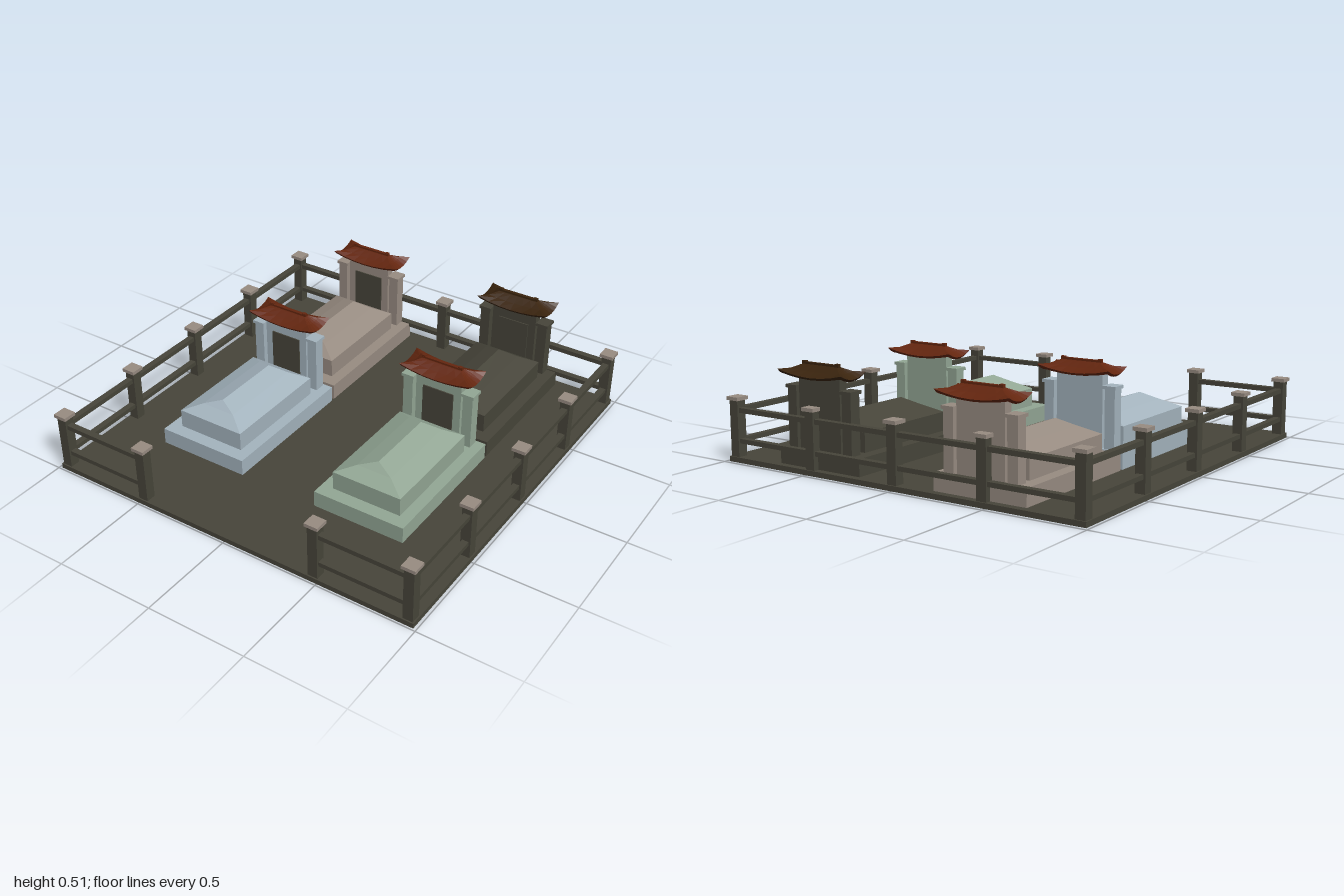
import * as THREE from 'three';

const mat = (name, color) => {
  const m = new THREE.MeshStandardMaterial({ color });
  m.name = name;
  return m;
};

// Box placed by its centre in x and z and by its bottom and top heights
function block(name, material, w, d, x, z, y0, y1) {
  const mesh = new THREE.Mesh(new THREE.BoxGeometry(w, y1 - y0, d), material);
  mesh.position.set(x, (y0 + y1) / 2, z);
  mesh.name = name;
  return mesh;
}

// Stack of rectangular rings [halfX, halfZ, y, cornerLift], n segments per side, faceted
function loft(rings, n) {
  const corners = [[1, 1], [1, -1], [-1, -1], [-1, 1]];
  const pos = [], idx = [], count = 4 * n;
  for (const [hx, hz, y, lift = 0] of rings) {
    for (let j = 0; j < count; j++) {
      const a = corners[Math.floor(j / n)], b = corners[(Math.floor(j / n) + 1) % 4];
      const t = (j % n) / n, u = 2 * t - 1;
      pos.push(hx * (a[0] + (b[0] - a[0]) * t), y + lift * u * u, hz * (a[1] + (b[1] - a[1]) * t));
    }
  }
  for (let i = 0; i < rings.length - 1; i++) {
    for (let j = 0; j < count; j++) {
      const a = i * count + j, b = i * count + (j + 1) % count;
      idx.push(a, b, b + count, a, b + count, a + count);
    }
  }
  const top = (rings.length - 1) * count;
  for (let j = 1; j < count - 1; j++) {
    idx.push(0, j + 1, j, top, top + j, top + j + 1);
  }
  const indexed = new THREE.BufferGeometry();
  indexed.setAttribute('position', new THREE.Float32BufferAttribute(pos, 3));
  indexed.setIndex(idx);
  const geo = indexed.toNonIndexed();
  geo.computeVertexNormals();
  return geo;
}

export function createModel() {
  const model = new THREE.Group();
  model.name = 'walledGraves';
  const dark = mat('darkStone', 0x47453a);
  const taupe = mat('taupeStone', 0x988c82);
  const blue = mat('blueStone', 0xa4b4be);
  const green = mat('greenStone', 0x93a795);
  const redTile = mat('redTile', 0x64260f);
  const brownTile = mat('brownTile', 0x3a240e);

  // Floor slab
  const CZ = 0.005, E = 0.953, H = E / 2;
  model.add(block('floor', dark, 1.97, 1.97, 0, CZ, 0, 0.025));

  // Fence posts with caps, leaving the front middle open as an entrance
  const fence = new THREE.Group();
  fence.name = 'fence';
  for (let i = -2; i <= 2; i++) {
    for (let k = -2; k <= 2; k++) {
      const onEdge = Math.abs(i) === 2 || Math.abs(k) === 2;
      if (!onEdge || (k === 2 && i === 0)) continue;
      fence.add(block('post', dark, 0.05, 0.05, i * H, CZ + k * H, 0.02, 0.297));
      fence.add(block('postCap', taupe, 0.069, 0.069, i * H, CZ + k * H, 0.295, 0.312));
    }
  }

  // Two rails per fence side
  for (const [y0, y1] of [[0.09, 0.112], [0.237, 0.26]]) {
    fence.add(block('backRail', dark, 2 * E, 0.032, 0, CZ - E, y0, y1));
    for (const s of [-1, 1]) {
      fence.add(block('sideRail', dark, 0.032, 2 * E, s * E, CZ, y0, y1));
      fence.add(block('frontRail', dark, H, 0.032, s * 0.75 * E, CZ + E, y0, y1));
    }
  }
  model.add(fence);

  // Shared shapes: hipped mound and tiled roof with upswept corners
  const moundGeo = loft([
    [0.18, 0.29, 0.1], [0.18, 0.29, 0.2], [0.09, 0.225, 0.238], [0, 0.185, 0.27],
  ], 1);
  const roofGeo = loft([
    [0.13, 0.025, 0.462], [0.18, 0.076, 0.443, 0.02], [0.19, 0.083, 0.453, 0.025],
    [0.145, 0.045, 0.474, 0.008], [0.108, 0.014, 0.498], [0.1, 0.012, 0.5],
  ], 6);

  function grave(name, stone, tile, x, z) {
    const g = new THREE.Group();
    g.name = name;
    g.position.set(x, 0, z);
    g.add(block('plinth', stone, 0.476, 0.755, 0, 0.205, 0.02, 0.107));

    const mound = new THREE.Mesh(moundGeo, stone);
    mound.name = 'mound';
    mound.position.z = 0.225;
    g.add(mound);

    // Headstone with inset-looking panel, flanked by capped pillars
    g.add(block('headstone', stone, 0.245, 0.046, 0, -0.137, 0.1, 0.468));
    g.add(block('panel', dark, 0.165, 0.008, 0, -0.112, 0.15, 0.367));
    for (const s of [-1, 1]) {
      g.add(block('pillar', stone, 0.052, 0.058, s * 0.163, -0.135, 0.1, 0.387));
      g.add(block('pillarCap', stone, 0.066, 0.074, s * 0.163, -0.135, 0.385, 0.4));
    }

    // Roof with ridge beam and small end tips
    const roof = new THREE.Group();
    roof.name = 'roof';
    roof.position.z = -0.142;
    const tiles = new THREE.Mesh(roofGeo, tile);
    tiles.name = 'roofTiles';
    roof.add(tiles, block('ridge', tile, 0.205, 0.018, 0, 0, 0.49, 0.509));
    for (const s of [-1, 1]) roof.add(block('ridgeTip', tile, 0.02, 0.016, s * 0.098, 0, 0.495, 0.514));
    g.add(roof);
    model.add(g);
  }

  const X = 0.445, BACK = -0.772;
  grave('frontRightGrave', blue, redTile, -X, 0);
  grave('frontLeftGrave', green, redTile, X, 0);
  grave('backRightGrave', taupe, redTile, -X, BACK);
  grave('backLeftGrave', dark, brownTile, X, BACK);
  return model;
}
